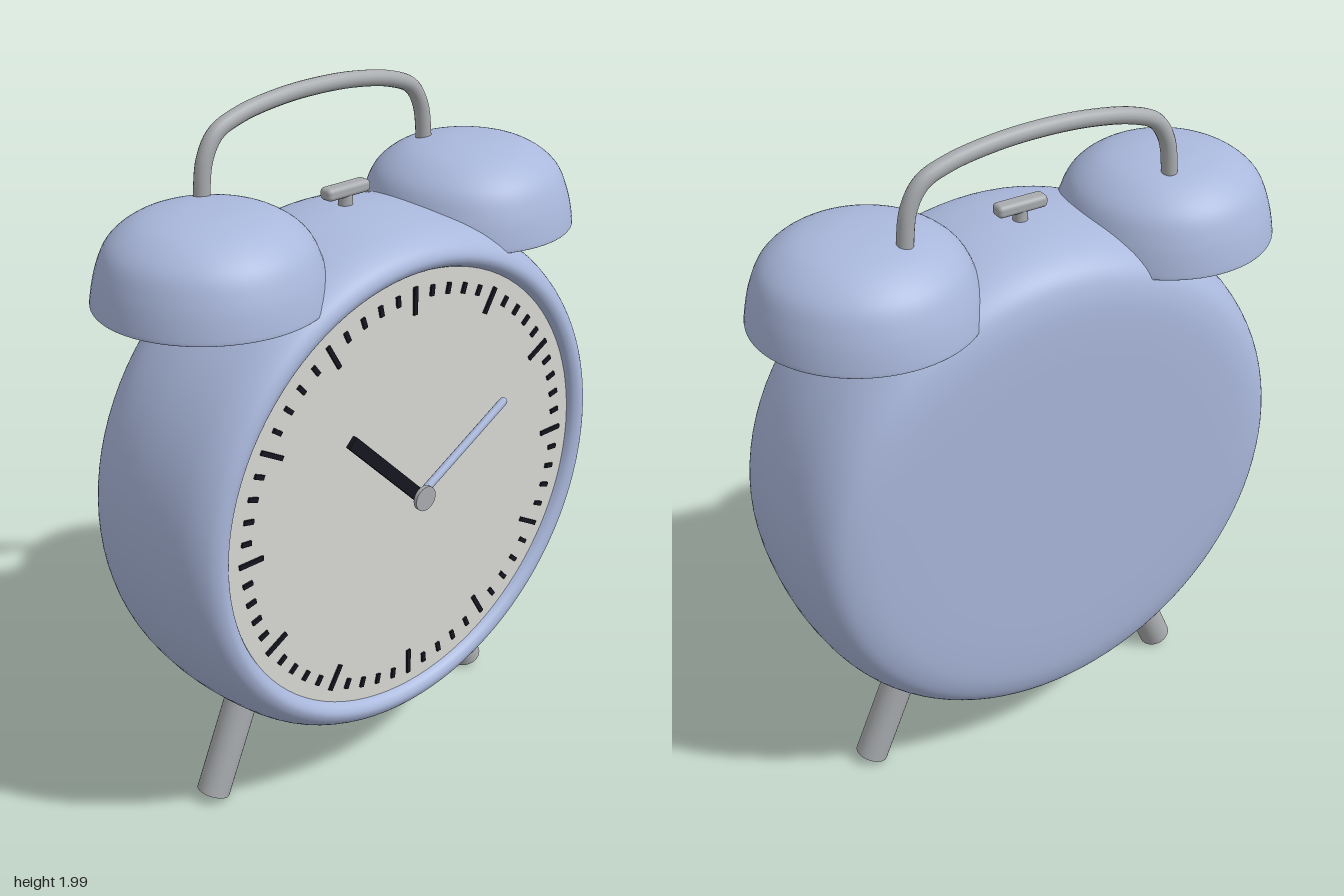
import * as THREE from 'three';
import { RoundedBoxGeometry } from 'three/addons/geometries/RoundedBoxGeometry.js';

const mat = (name, color, side = THREE.FrontSide) => {
  const m = new THREE.MeshStandardMaterial({ color, side });
  m.name = name;
  return m;
};

// Smooth a short list of [radius, height] points into a lathe
function lathe(points, segments = 80, divisions = 48) {
  const curve = new THREE.SplineCurve(points.map(([r, h]) => new THREE.Vector2(r, h)));
  const profile = curve.getPoints(divisions);
  profile.forEach(p => { p.x = Math.max(p.x, 0); });
  return new THREE.LatheGeometry(profile, segments);
}

export function createModel() {
  const blue = mat('blueEnamel', 0xaab8dc);
  const metal = mat('greyMetal', 0xa9acaf);
  const cream = mat('dialWhite', 0xd8d8d4);
  const black = mat('black', 0x14161f);
  const clock = new THREE.Group();
  clock.name = 'alarmClock';
  const CY = 0.935; // height of the dial centre

  const add = (name, geometry, material, x = 0, y = 0, z = 0, parent = clock) => {
    const mesh = new THREE.Mesh(geometry, material);
    mesh.name = name;
    mesh.position.set(x, y, z);
    parent.add(mesh);
    return mesh;
  };
  // Cylinder between two points
  const rod = (name, a, b, radius, material, segments = 24) => {
    const from = new THREE.Vector3(...a), to = new THREE.Vector3(...b);
    const dir = to.clone().sub(from);
    const mesh = add(name, new THREE.CylinderGeometry(radius, radius, dir.length(), segments), material);
    mesh.position.copy(from).add(to).multiplyScalar(0.5);
    mesh.quaternion.setFromUnitVectors(new THREE.Vector3(0, 1, 0), dir.normalize());
    return mesh;
  };

  // Round case with a rolled front rim
  const body = add('case', lathe([
    [0, -0.27], [0.3, -0.27], [0.52, -0.268], [0.63, -0.256], [0.695, -0.22], [0.735, -0.14],
    [0.75, -0.02], [0.745, 0.1], [0.728, 0.2], [0.7, 0.258], [0.668, 0.28], [0.642, 0.272], [0.628, 0.245],
  ], 96, 72), blue, 0, CY);
  body.rotation.x = Math.PI / 2;

  // Dial and minute marks
  const dial = new THREE.Group();
  dial.name = 'dial';
  dial.position.set(0, CY, 0.255);
  clock.add(dial);
  add('dialFace', new THREE.CircleGeometry(0.634, 96), cream, 0, 0, 0, dial);
  for (let i = 0; i < 60; i++) {
    const hour = i % 5 === 0;
    const inner = hour ? 0.52 : 0.56, outer = hour ? 0.597 : 0.59;
    const a = i * Math.PI / 30, r = (inner + outer) / 2;
    const mark = add(hour ? 'hourMark' : 'minuteMark',
      new THREE.BoxGeometry(0.013, outer - inner, 0.006), black,
      Math.sin(a) * r, Math.cos(a) * r, 0.003, dial);
    mark.rotation.z = -a;
  }

  // Hands and centre pin
  const hourHand = add('hourHand', new THREE.BoxGeometry(0.036, 0.345, 0.014), black, -0.122, CY + 0.122, 0.284);
  hourHand.rotation.z = Math.PI / 4;
  const minuteHand = add('minuteHand', new THREE.CapsuleGeometry(0.012, 0.355, 4, 12), blue, 0.161, CY + 0.093, 0.29);
  minuteHand.rotation.z = -Math.PI / 3;
  rod('pinStem', [0, CY, 0.25], [0, CY, 0.305], 0.015, metal);
  rod('pinCap', [0, CY, 0.303], [0, CY, 0.314], 0.036, metal, 32);

  // Hollow bells: down the inside, round the lip, up the outside
  const bellGeometry = lathe([
    [0, 0.215], [0.09, 0.209], [0.17, 0.189], [0.23, 0.145], [0.262, 0.08], [0.281, 0.012], [0.288, 0.001],
    [0.297, 0.001], [0.301, 0.012], [0.284, 0.09], [0.25, 0.161], [0.18, 0.212], [0.09, 0.234], [0, 0.239],
  ], 72, 78);
  for (const [s, side] of [[1, 'left'], [-1, 'right']]) {
    add(side + 'Bell', bellGeometry, blue, s * 0.45, 1.54, -0.012);
    rod(side + 'BellPost', [s * 0.31, 1.51, -0.012], [s * 0.445, 1.765, -0.012], 0.022, metal);
    rod(side + 'Leg', [s * 0.35, 0.43, -0.008], [s * 0.518, 0.026, -0.008], 0.048, metal, 32);
  }

  // Carrying handle
  const half = [[0.388, 1.69], [0.386, 1.77], [0.372, 1.86], [0.335, 1.918], [0.26, 1.95], [0.13, 1.972]];
  const path = [
    ...half.map(([x, y]) => [-x, y]), [0, 1.978], ...half.slice().reverse(),
  ].map(([x, y]) => new THREE.Vector3(x, y, -0.12));
  add('handle', new THREE.TubeGeometry(new THREE.CatmullRomCurve3(path), 90, 0.022, 16), metal);
  for (const s of [-1, 1]) add('handleEnd', new THREE.SphereGeometry(0.022, 16, 10), metal, s * 0.388, 1.69, -0.12);

  // Alarm button
  rod('buttonStem', [0, 1.64, -0.013], [0, 1.72, -0.013], 0.02, metal);
  add('buttonCap', new RoundedBoxGeometry(0.146, 0.034, 0.044, 4, 0.012), metal, 0, 1.725, -0.013);

  return clock;
}
